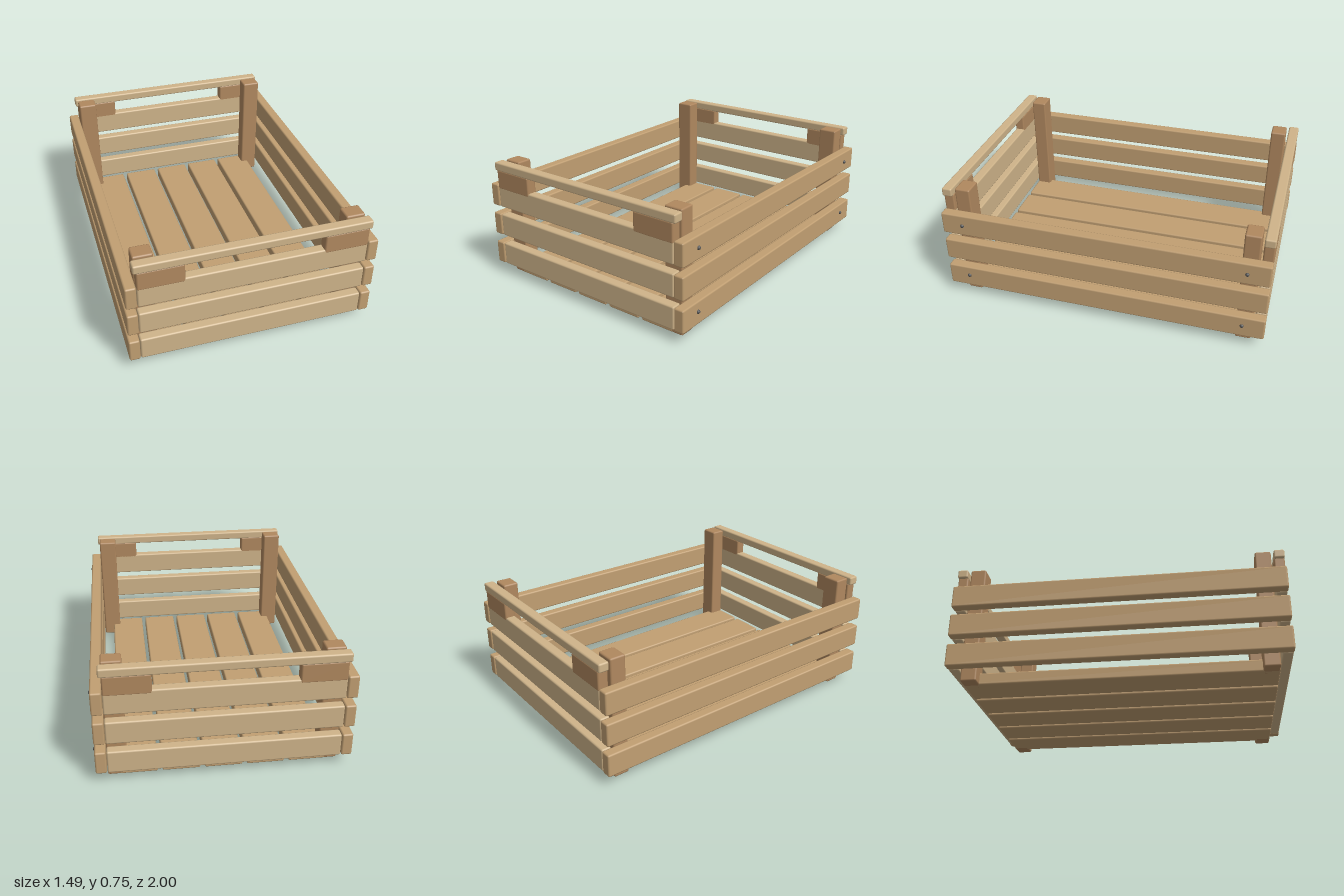
import * as THREE from 'three';
import { RoundedBoxGeometry } from 'three/addons/geometries/RoundedBoxGeometry.js';

const material = (color) => new THREE.MeshStandardMaterial({ color });

export function createModel() {
  const model = new THREE.Group();
  model.name = 'crate';
  const crate = new THREE.Group();
  crate.name = 'crateBody';
  crate.position.x = -0.006; // nail heads on one side shift the body off centre
  model.add(crate);

  const lightWood = material(0xcfb48a);
  const midWood = material(0xc19f72);
  const darkWood = material(0xb0885f);
  const steel = material(0x555555);

  // A board with softened edges, given by its size and centre
  function board(name, wood, size, centre) {
    const mesh = new THREE.Mesh(new RoundedBoxGeometry(...size, 1, 0.01), wood);
    mesh.name = name;
    mesh.position.set(...centre);
    crate.add(mesh);
  }

  // Floor slats running front to back
  for (let i = -2; i <= 2; i++) {
    board('floorSlat', midWood, [0.223, 0.075, 1.845], [i * 0.2485, 0.0375, 0]);
  }

  // Three rows of side planks and end slats
  for (const y of [0.143, 0.34, 0.533]) {
    for (const s of [-1, 1]) {
      board('sidePlank', midWood, [0.064, 0.142, 2], [s * 0.708, y, 0]);
      board('endSlat', lightWood, [1.346, 0.142, 0.062], [0, y, s * 0.966]);
    }
  }

  // Handles: a top rail on two blocks at each end
  for (const sz of [-1, 1]) {
    board('handleRail', lightWood, [1.38, 0.054, 0.064], [0, 0.723, sz * 0.968]);
    for (const sx of [-1, 1]) {
      board('handleBlock', darkWood, [0.268, 0.122, 0.064], [sx * 0.539, 0.642, sz * 0.967]);
      // Corner posts
      board('cornerPost', darkWood, [0.116, 0.75, 0.096], [sx * 0.617, 0.375, sz * 0.873]);
    }
  }

  // Nail heads on the left side
  const nailGeometry = new THREE.SphereGeometry(0.012, 12, 8);
  for (const y of [0.152, 0.533]) {
    for (const z of [-0.866, 0.866]) {
      const nail = new THREE.Mesh(nailGeometry, steel);
      nail.name = 'nailHead';
      nail.position.set(0.74, y, z);
      crate.add(nail);
    }
  }

  return model;
}
